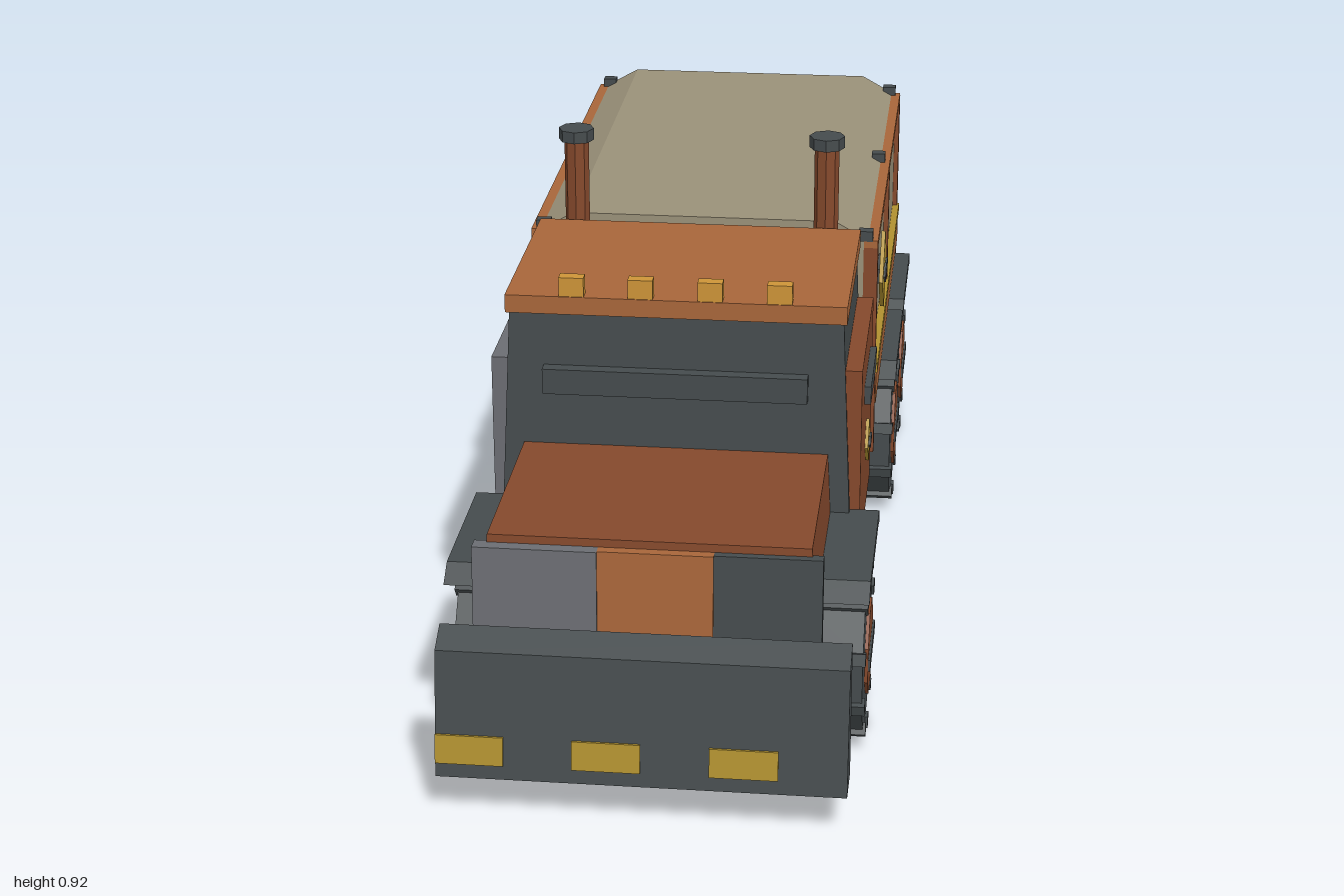
import * as THREE from 'three';

const mat = (name, color) => Object.assign(new THREE.MeshStandardMaterial({ color }), { name });
const slate = mat('slate', 0x454b4d);
const rust = mat('rust', 0x85492c);
const orange = mat('orange brown', 0xa8663a);
const canvas = mat('canvas tan', 0x9a9179);
const yellow = mat('hazard yellow', 0xb0902f);
const amber = mat('amber', 0xcd9438);
const grey = mat('bare steel', 0x6b6d72);

const flat = (geo) => {
  const g = geo.index ? geo.toNonIndexed() : geo;
  g.computeVertexNormals();
  return g;
};

export function createModel() {
  const truck = new THREE.Group();
  truck.name = 'armouredTruck';

  const add = (name, geo, material, parent = truck) => {
    const m = new THREE.Mesh(geo, material);
    m.name = name;
    parent.add(m);
    return m;
  };
  // box given by its limits, optionally narrowed towards the top
  const box = (name, material, [x0, x1], [y0, y1], [z0, z1], taper, parent) => {
    const g = new THREE.BoxGeometry(x1 - x0, y1 - y0, z1 - z0);
    if (taper) {
      const p = g.attributes.position;
      for (let i = 0; i < p.count; i++) {
        if (p.getY(i) < 0) continue;
        p.setX(i, p.getX(i) * taper.x);
        if (p.getZ(i) > 0) p.setZ(i, p.getZ(i) - taper.front);
      }
      g.computeVertexNormals();
    }
    g.translate((x0 + x1) / 2, (y0 + y1) / 2, (z0 + z1) / 2);
    return add(name, flat(g), material, parent);
  };
  const shape = (pts) => new THREE.Shape(pts.map(([a, b]) => new THREE.Vector2(a, b)));
  // side profile of (z, y) points, extruded from x0 to x1
  const prism = (name, material, pts, x0, x1) => {
    const g = new THREE.ExtrudeGeometry(shape(pts), { depth: x1 - x0, bevelEnabled: false });
    g.rotateY(-Math.PI / 2).translate(x1, 0, 0);
    return add(name, g, material);
  };
  // box on one side: x limits are distances from the centre line
  const sideBox = (name, material, s, [a, b], y, z) =>
    box(name, material, s > 0 ? [a, b] : [-b, -a], y, z);

  // chassis
  box('chassis', slate, [-0.18, 0.18], [0.15, 0.23], [-0.965, 0.84]);

  // plough blade with hazard stripes on its leaning face
  prism('ploughBlade', slate, [[0.917, 0.08], [0.998, 0.08], [0.966, 0.3], [0.917, 0.325]], -0.345, 0.345);
  const lean = (y) => 0.998 - (y - 0.08) * 0.1455;
  for (let i = 0; i < 3; i++) {
    const x = -0.345 + i * 0.23;
    prism('bladeStripe', yellow, [[lean(0.105) - 0.003, 0.105], [lean(0.105) + 0.004, 0.105],
      [lean(0.155) + 0.004, 0.155], [lean(0.155) - 0.003, 0.155]], x, x + 0.115);
  }
  box('bladeMount', slate, [-0.12, 0.12], [0.16, 0.21], [0.83, 0.93]);

  // bonnet and three mismatched grille plates
  box('bonnet', rust, [-0.285, 0.285], [0.22, 0.464], [0.47, 0.87], { x: 0.955, front: 0.015 });
  [[-0.295, -0.085, grey, 0.008], [-0.085, 0.11, orange, 0.004], [0.11, 0.292, slate, 0]].forEach(([a, b, m, d]) =>
    prism('grillePlate', m, [[0.862, 0.22], [0.882 + d, 0.22], [0.87 + d, 0.45], [0.85, 0.45]], a, b));

  // cab
  box('cab', slate, [-0.318, 0.318], [0.22, 0.71], [0.065, 0.478], { x: 0.93, front: 0.02 });
  box('cabRoof', orange, [-0.302, 0.302], [0.709, 0.742], [0.058, 0.465]);
  box('visionSlit', slate, [-0.235, 0.235], [0.565, 0.612], [0.45, 0.486]);
  for (const x of [-0.184, -0.062, 0.061, 0.183])
    box('roofLight', amber, [x - 0.022, x + 0.022], [0.742, 0.777], [0.44, 0.463]);

  // diamond sign with a simple pointer on one flank
  const sign = (s, x, y, z, r) => {
    const d = prism('diamondSign', yellow, [[z + r, y], [z, y + r], [z - r, y], [z, y - r]], 0, 0.008);
    d.position.x = s > 0 ? x : -x - 0.008;
    sideBox('signPointerBar', slate, s, [x + 0.007, x + 0.012], [y - r * 0.11, y + r * 0.11], [z - r * 0.55, z + r * 0.4]);
    const h = prism('signPointerHead', slate, [[z + r * 0.6, y], [z + r * 0.25, y + r * 0.26],
      [z + r * 0.1, y], [z + r * 0.25, y - r * 0.26]], 0, 0.005);
    h.position.x = s > 0 ? x + 0.007 : -x - 0.012;
  };

  // wheel: faceted tyre, tread bars, hub and cross bar
  const wheel = (s, z) => {
    const w = new THREE.Group();
    w.name = 'wheel';
    w.position.set(s * 0.3, 0.16, z);
    truck.add(w);
    const n = 10;
    const tyre = new THREE.CylinderGeometry(0.154, 0.154, 0.11, n).rotateY(Math.PI / n).rotateZ(Math.PI / 2);
    add('tyre', flat(tyre), slate, w);
    for (let i = 0; i < n; i++) {
      const g = new THREE.BoxGeometry(0.12, 0.022, 0.022).translate(0, 0.149, 0);
      add('treadBar', g.rotateX((i * 2 * Math.PI) / n), slate, w);
    }
    const hub = new THREE.CylinderGeometry(0.085, 0.085, 0.014, 8).rotateY(Math.PI / 8).rotateZ(Math.PI / 2);
    add('hub', flat(hub).translate(s * 0.054, 0, 0), rust, w);
    add('hubBar', new THREE.BoxGeometry(0.012, 0.022, 0.155).translate(s * 0.059, 0, 0), slate, w);
  };

  for (const s of [1, -1]) {
    // doors, one replaced by bare steel
    sideBox('door', s > 0 ? rust : grey, s, [0.295, 0.33], [0.257, 0.62], [0.09, 0.457]);
    sideBox('doorSlit', slate, s, [0.325, 0.342], [0.521, 0.555], [0.175, 0.37]);
    sign(s, 0.328, 0.41, 0.273, 0.042);

    // exhaust stacks
    const pipe = new THREE.CylinderGeometry(0.023, 0.023, 0.68, 8).translate(s * 0.235, 0.555, 0.033);
    add('exhaustStack', flat(pipe), rust);
    const cap = new THREE.CylinderGeometry(0.033, 0.033, 0.022, 8).translate(s * 0.235, 0.904, 0.033);
    add('exhaustCap', flat(cap), slate);
    sideBox('exhaustBracket', slate, s, [0.17, 0.25], [0.215, 0.235], [0.01, 0.06]);

    // fuel tank
    const tank = new THREE.CylinderGeometry(0.057, 0.057, 0.255, 8).rotateY(Math.PI / 8).rotateX(Math.PI / 2);
    add('fuelTank', flat(tank).translate(s * 0.24, 0.183, -0.108), grey);

    // wheels, axles and mudguards
    for (const z of [0.606, -0.392, -0.74]) {
      wheel(s, z);
      sideBox('axle', slate, s, [0, 0.25], [0.14, 0.18], [z - 0.02, z + 0.02]);
      const g = prism('mudguard', slate, [[z + 0.172, 0.326], [z + 0.165, 0.326 - 0.002], [z + 0.13, 0.334],
        [z - 0.13, 0.334], [z - 0.165, 0.324], [z - 0.172, 0.326], [z - 0.15, 0.353], [z + 0.135, 0.353]], 0, 0.155);
      g.position.x = s > 0 ? 0.21 : -0.365;
    }

    // cargo frame: side board, stripe, posts, rail and top clamps
    sideBox('sideBoard', orange, s, [0.3, 0.334], [0.36, 0.424], [-0.968, -0.018]);
    sideBox('sideStripe', yellow, s, [0.3, 0.336], [0.424, 0.443], [-0.968, -0.018]);
    sideBox('topRail', orange, s, [0.305, 0.332], [0.682, 0.697], [-0.972, -0.008]);
    for (const z of [-0.018, -0.493, -0.963]) {
      sideBox('framePost', rust, s, [0.305, 0.332], [z === -0.493 ? 0.44 : 0.26, 0.685], [z - 0.009, z + 0.009]);
      sideBox('topClamp', slate, s, [0.295, 0.322], [0.695, 0.715], [z - 0.011, z + 0.011]);
    }
    sign(s, 0.328, 0.55, -0.255, 0.08);
    sideBox('signBacking', slate, s, [0.31, 0.329], [0.535, 0.565], [-0.3, -0.21]);

    // rear frame and marker lights
    sideBox('rearPost', rust, s, [0.318, 0.332], [0.26, 0.69], [-0.982, -0.965]);
    sideBox('rearLight', amber, s, [0.245, 0.29], [0.268, 0.29], [-0.994, -0.965]);
  }

  // cargo bed and canvas cover
  box('cargoBed', slate, [-0.318, 0.318], [0.22, 0.265], [-0.97, -0.005]);
  const cover = new THREE.ExtrudeGeometry(shape([[-0.322, 0.262], [0.322, 0.262], [0.322, 0.692],
    [0.25, 0.732], [-0.25, 0.732], [-0.322, 0.692]]), { depth: 0.965, bevelEnabled: false });
  add('canvasCover', cover.translate(0, 0, -0.975), canvas);
  box('rearTopRail', rust, [-0.325, 0.325], [0.684, 0.694], [-0.981, -0.97]);

  // rear bumper with hazard stripes
  box('rearBumper', rust, [-0.335, 0.335], [0.185, 0.268], [-0.992, -0.965]);
  for (let i = 0; i < 6; i++) {
    const x = -0.33 + i * 0.11;
    box('bumperStripe', i % 2 ? slate : yellow, [x, x + 0.11], [0.198, 0.25], [-0.998, -0.99]);
  }
  return truck;
}
